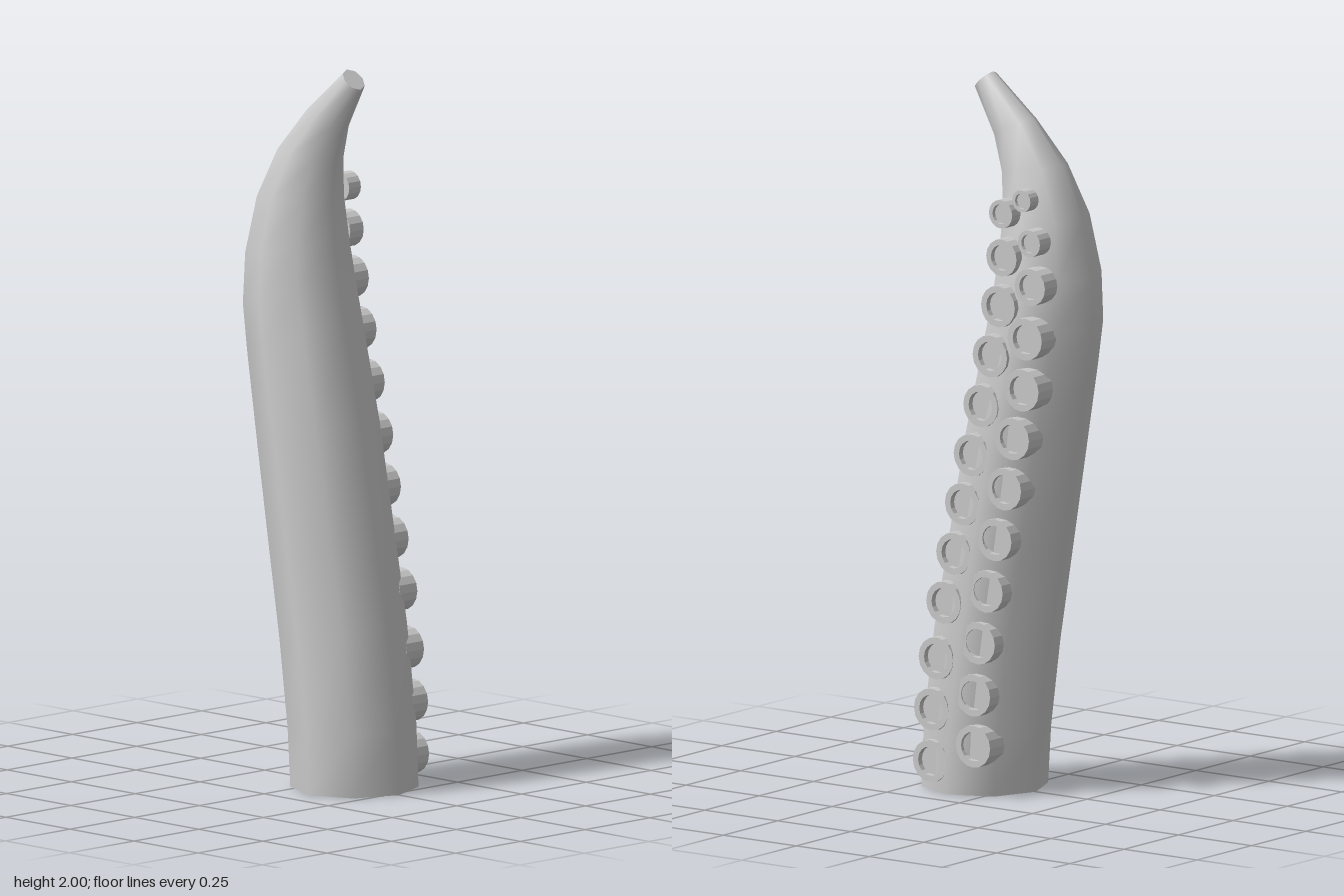
import * as THREE from 'three';

const SIDES = 8;

// Cross-sections: [front z, front y, back z, back y, half width]
const RINGS = [
  [0.275, 0, -0.075, 0, 0.177],
  [0.267, 0.18, -0.086, 0.16, 0.177],
  [0.23, 0.46, -0.117, 0.40, 0.177],
  [0.183, 0.70, -0.156, 0.64, 0.176],
  [0.124, 1.01, -0.202, 0.92, 0.173],
  [0.061, 1.286, -0.246, 1.18, 0.165],
  [0.038, 1.40, -0.268, 1.31, 0.157],
  [0.022, 1.51, -0.268, 1.455, 0.141],
  [0.013, 1.63, -0.235, 1.62, 0.115],
  [0.024, 1.735, -0.167, 1.762, 0.086],
  [0.056, 1.825, -0.066, 1.884, 0.056],
  [0.124, 1.95, 0.071, 2.0, 0.034],
];

// Suckers: [z, y, radius, outer x]
const FRONT_ROW = [
  [0.16, 0.085], [0.156, 0.23], [0.14, 0.375], [0.114, 0.534], [0.08, 0.675], [0.05, 0.817],
  [0.02, 0.958], [-0.013, 1.10], [-0.045, 1.243], [-0.069, 1.384, 0.058, 0.166],
  [-0.074, 1.52, 0.052, 0.157], [-0.066, 1.64, 0.04, 0.15],
];
const BACK_ROW = [
  [0.013, 0.143], [0.013, 0.286], [-0.003, 0.434], [-0.03, 0.582], [-0.06, 0.73], [-0.093, 0.876],
  [-0.12, 1.02], [-0.153, 1.16], [-0.164, 1.304], [-0.175, 1.45, 0.052, 0.162],
  [-0.167, 1.57, 0.038, 0.155], [-0.132, 1.683, 0.031, 0.143],
];

function ringPoints([fz, fy, bz, by, w]) {
  const pts = [];
  for (let i = 0; i < SIDES; i++) {
    const a = (i / SIDES) * Math.PI * 2, c = Math.cos(a);
    pts.push(w * Math.sin(a), (fy + by) / 2 + (c * (fy - by)) / 2, (fz + bz) / 2 + (c * (fz - bz)) / 2);
  }
  return pts;
}

function buildGeometry(pos, idx) {
  const g = new THREE.BufferGeometry();
  g.setAttribute('position', new THREE.Float32BufferAttribute(pos, 3));
  g.setIndex(idx);
  g.computeVertexNormals();
  return g;
}

// Smooth skin lofted through the cross-sections
function skinGeometry() {
  const idx = [];
  for (let j = 0; j < RINGS.length - 1; j++) {
    for (let i = 0; i < SIDES; i++) {
      const n = (i + 1) % SIDES;
      const a = j * SIDES + i, b = j * SIDES + n;
      idx.push(a, b, b + SIDES, a, b + SIDES, a + SIDES);
    }
  }
  return buildGeometry(RINGS.flatMap(ringPoints), idx);
}

// Flat end cap, its fan reversed for the underside
function capGeometry(ring, up) {
  const idx = [];
  for (let i = 1; i < SIDES - 1; i++) idx.push(0, up ? i : i + 1, up ? i + 1 : i);
  return buildGeometry(ringPoints(ring), idx);
}

// Cup facing +x with a raised rim and a recessed floor
function suckerGeometry(radius, outer) {
  const base = 0.105, inner = radius * 0.69, floor = outer - radius * 0.3;
  const profile = [[0, base], [radius, base], [radius, outer], [inner, outer], [inner, floor], [0, floor]];
  const g = new THREE.LatheGeometry(profile.map(([r, h]) => new THREE.Vector2(r, h)), 16);
  return g.rotateZ(-Math.PI / 2);
}

export function createModel() {
  const model = new THREE.Group();
  model.name = 'tentacle';
  const smooth = new THREE.MeshStandardMaterial({ color: 0xcccccc });
  const faceted = new THREE.MeshStandardMaterial({ color: 0xcccccc, flatShading: true });

  const add = (parent, name, geometry, material) => {
    const mesh = new THREE.Mesh(geometry, material);
    mesh.name = name;
    parent.add(mesh);
    return mesh;
  };

  // Arm
  add(model, 'arm', skinGeometry(), smooth);
  add(model, 'base', capGeometry(RINGS[0], false), faceted);
  add(model, 'tip', capGeometry(RINGS[RINGS.length - 1], true), faceted);

  // Two staggered rows of suckers on the left side
  for (const [name, row] of [['frontSuckers', FRONT_ROW], ['backSuckers', BACK_ROW]]) {
    const group = new THREE.Group();
    group.name = name;
    for (const [z, y, radius = 0.059, outer = 0.171] of row) {
      add(group, 'sucker', suckerGeometry(radius, outer), faceted).position.set(0, y, z);
    }
    model.add(group);
  }
  return model;
}
